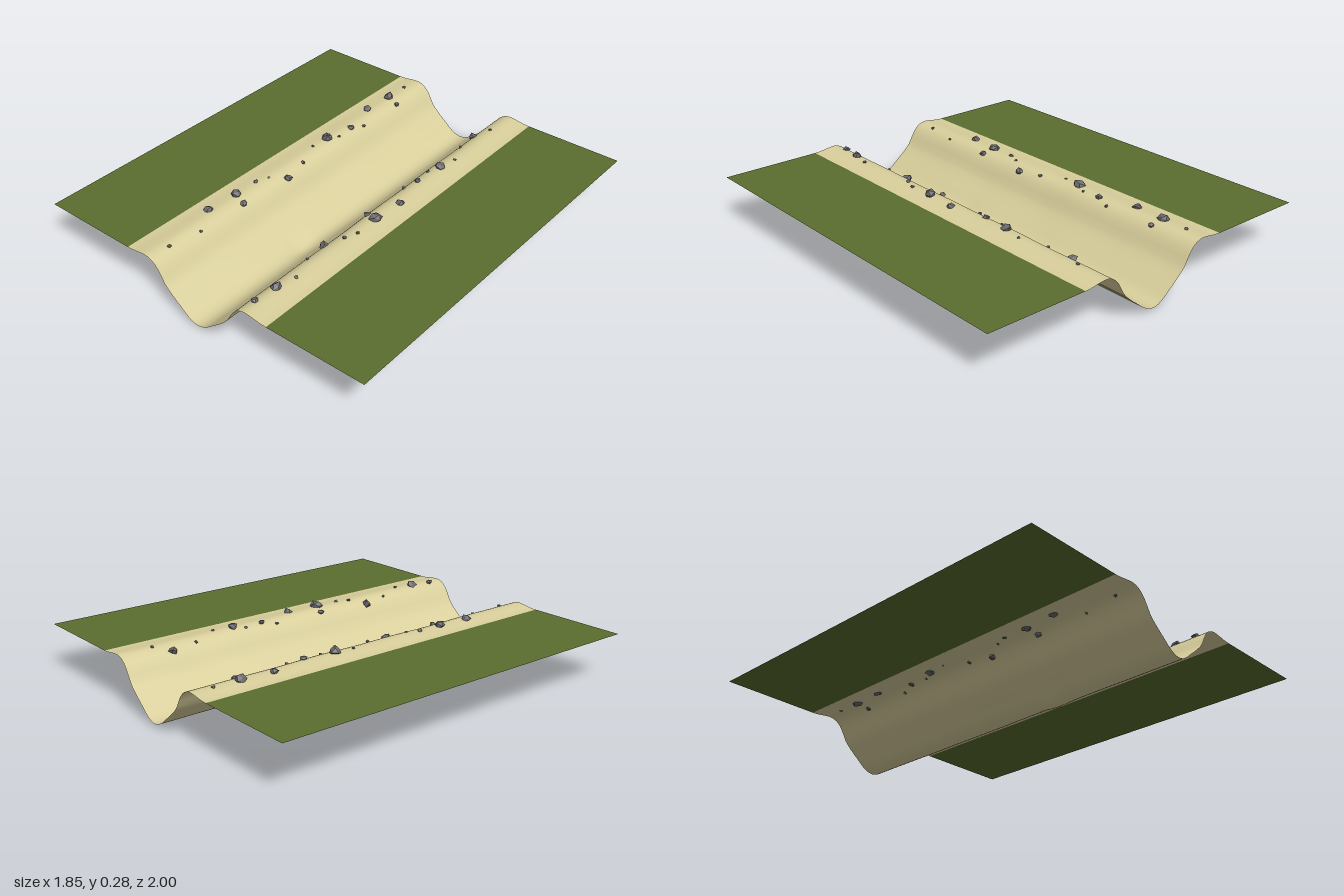
import * as THREE from 'three';

const GRASS_Y = 0.238, BANK = 0.415, HALF_WIDTH = 0.925;

// Channel cross-section: height against distance from the centre line
const section = new THREE.CubicInterpolant(
  [0, 0.05, 0.1, 0.14, 0.19, 0.22, 0.25, 0.29, 0.34, 0.38, BANK],
  [0.012, 0.027, 0.066, 0.098, 0.147, 0.2, 0.233, 0.249, 0.246, 0.24, GRASS_Y], 1);
section.settings = { endingStart: THREE.ZeroSlopeEnding, endingEnd: THREE.ZeroSlopeEnding };

function heightAt(x, z) {
  const d = Math.min(Math.abs(x), BANK);
  const fade = Math.sin(Math.PI * d / BANK) * (1 - z * z);
  const ripple = 0.003 * fade * Math.sin(9 * z + 7 * x) * Math.cos(4 * z - 5 * x);
  const hollow = 0.012 * Math.exp(-((z - 0.3) ** 2) / 0.004 - (x * x) / 0.003);
  return section.evaluate(d)[0] + ripple - hollow;
}

// Stones as x, z, radius
const STONES = [
  [-0.315, -0.895, 0.01], [-0.315, -0.76, 0.028], [-0.25, -0.745, 0.017], [-0.325, -0.59, 0.022],
  [-0.25, -0.465, 0.01], [-0.275, -0.39, 0.02], [-0.27, -0.29, 0.008], [-0.3, -0.23, 0.032],
  [-0.31, -0.13, 0.008], [-0.26, 0, 0.011], [-0.24, 0.135, 0.024], [-0.29, 0.215, 0.008],
  [-0.315, 0.28, 0.012], [-0.315, 0.415, 0.03], [-0.25, 0.43, 0.018], [-0.325, 0.585, 0.024],
  [-0.25, 0.71, 0.009], [-0.27, 0.885, 0.01],
  [0.29, -0.825, 0.01], [0.24, -0.745, 0.024], [0.255, -0.61, 0.009], [0.31, -0.48, 0.009],
  [0.29, -0.38, 0.026], [0.265, -0.32, 0.009], [0.275, -0.22, 0.018], [0.25, -0.145, 0.01],
  [0.325, -0.02, 0.022], [0.25, 0.135, 0.018], [0.31, 0.15, 0.03], [0.315, 0.285, 0.011],
  [0.29, 0.35, 0.011], [0.24, 0.43, 0.024], [0.255, 0.56, 0.009], [0.31, 0.695, 0.01],
  [0.29, 0.795, 0.026], [0.275, 0.915, 0.02],
];

// Faceted stone: each corner of an icosahedron is pushed in or out by a rule
function stoneGeometry(seed) {
  const geo = new THREE.IcosahedronGeometry(1, 0);
  const p = geo.attributes.position;
  const v = new THREE.Vector3();
  for (let i = 0; i < p.count; i++) {
    v.fromBufferAttribute(p, i);
    v.multiplyScalar(1 + 0.2 * Math.sin(5 * v.x + 3 * v.y + 7 * v.z + seed * 2.3));
    p.setXYZ(i, v.x, v.y, v.z);
  }
  geo.computeVertexNormals();
  return geo;
}

export function createModel() {
  const model = new THREE.Group();
  const sand = new THREE.MeshStandardMaterial({ color: 0xd9cf9c, side: THREE.DoubleSide });
  const grass = new THREE.MeshStandardMaterial({ color: 0x5c6e30, side: THREE.DoubleSide });
  const rock = new THREE.MeshStandardMaterial({ color: 0x6b6b70, flatShading: true });

  // Sandy channel with raised banks
  const bedGeo = new THREE.PlaneGeometry(BANK * 2, 2, 48, 60).rotateX(-Math.PI / 2);
  const p = bedGeo.attributes.position;
  for (let i = 0; i < p.count; i++) p.setY(i, heightAt(p.getX(i), p.getZ(i)));
  bedGeo.computeVertexNormals();
  const bed = new THREE.Mesh(bedGeo, sand);
  bed.name = 'riverBed';
  model.add(bed);

  // Flat grass on both sides
  for (const side of [-1, 1]) {
    const geo = new THREE.PlaneGeometry(HALF_WIDTH - BANK, 2).rotateX(-Math.PI / 2);
    const field = new THREE.Mesh(geo, grass);
    field.name = side > 0 ? 'leftGrass' : 'rightGrass';
    field.position.set(side * (HALF_WIDTH + BANK) / 2, GRASS_Y, 0);
    model.add(field);
  }

  // Stones scattered along the banks, partly sunk in
  const stones = new THREE.Group();
  stones.name = 'bankStones';
  STONES.forEach(([x, z, r], i) => {
    const stone = new THREE.Mesh(stoneGeometry(i), rock);
    stone.name = 'stone';
    stone.position.set(x, heightAt(x, z) + r * 0.2, z);
    stone.rotation.y = i * 1.7;
    stone.scale.set(r, r * 0.75, r * 0.9);
    stones.add(stone);
  });
  model.add(stones);
  return model;
}
